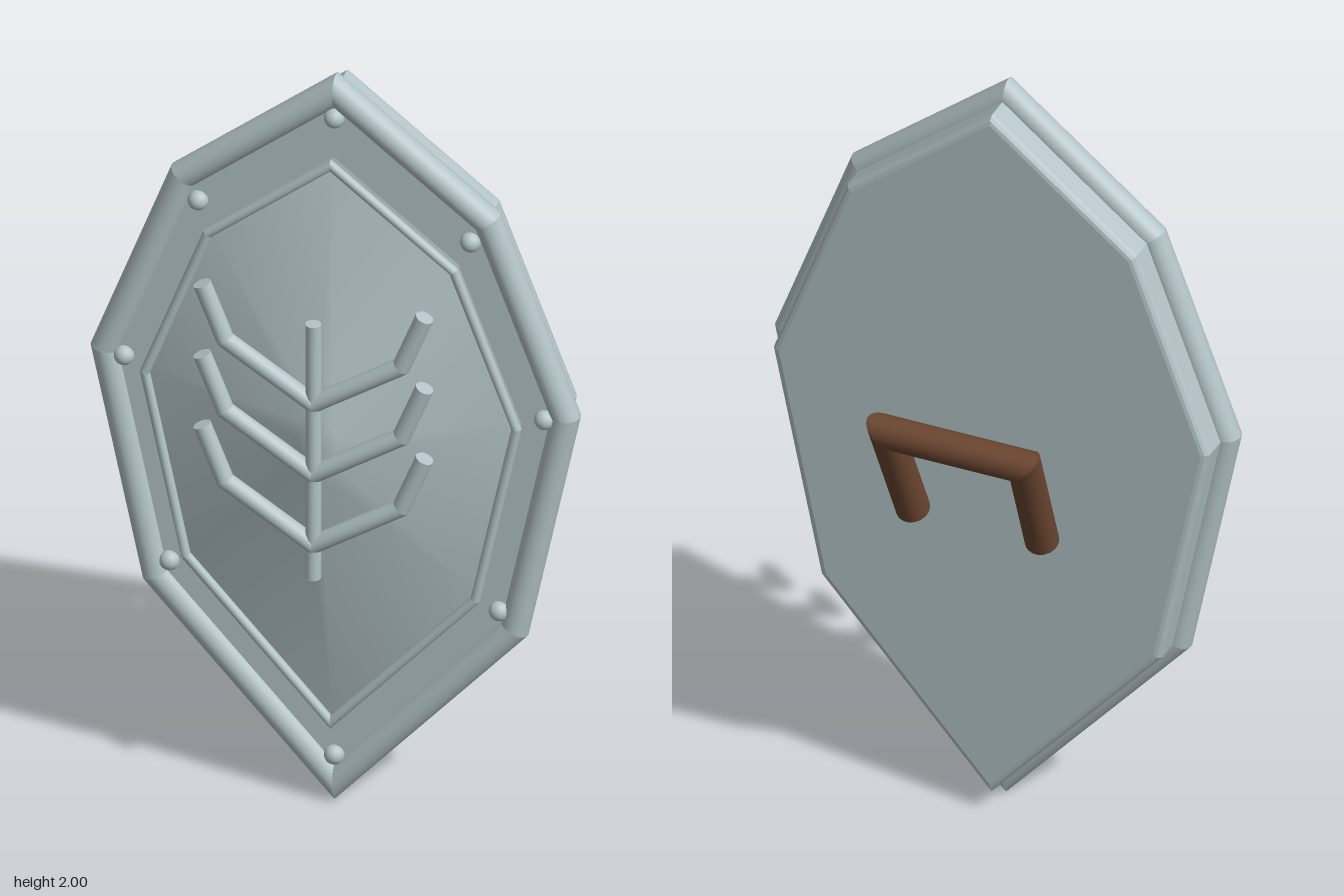
import * as THREE from 'three';
import { mergeGeometries } from 'three/addons/utils/BufferGeometryUtils.js';

const V = (x, y, z) => new THREE.Vector3(x, y, z);

// Right half of the shield outline (rim centre line), mirrored to a closed loop
const half = [[0, 1.954], [0.372, 1.657], [0.562, 1.15], [0.438, 0.545], [0, 0.05]];
const outline = [...half, ...half.slice(1, 4).reverse().map(([x, y]) => [-x, y])];
const centreY = 1.07;
const scaled = (k, z, cy = 1.0) => outline.map(([x, y]) => V(x * k, cy + (y - cy) * k, z));

function indexed(points, index) {
  const g = new THREE.BufferGeometry().setFromPoints(points);
  g.setIndex(index);
  g.computeVertexNormals();
  return g;
}

// Round bar along a planar polyline with mitred corners; n is the plane's normal
function bar(path, n, r, closed = false, sides = 16) {
  const count = path.length, segs = closed ? count : count - 1;
  const dirs = [];
  for (let i = 0; i < segs; i++) dirs.push(path[(i + 1) % count].clone().sub(path[i]).normalize());
  const ringAt = (i) => {
    const a = dirs[closed ? (i + segs - 1) % segs : Math.max(i - 1, 0)];
    const b = dirs[closed ? i % segs : Math.min(i, segs - 1)];
    const sa = n.clone().cross(a), side = sa.clone().add(n.clone().cross(b)).normalize();
    side.divideScalar(side.dot(sa));
    return Array.from({ length: sides }, (_, j) => {
      const t = (j / sides) * Math.PI * 2;
      return path[i % count].clone().addScaledVector(side, r * Math.cos(t)).addScaledVector(n, r * Math.sin(t));
    });
  };
  const parts = [];
  for (let i = 0; i < segs; i++) {
    const index = [];
    for (let j = 0; j < sides; j++) {
      const k = (j + 1) % sides;
      index.push(j, k, sides + k, j, sides + k, sides + j);
    }
    parts.push(indexed([...ringAt(i), ...ringAt(i + 1)], index));
  }
  if (!closed) {
    const start = [], end = [];
    for (let j = 1; j < sides - 1; j++) {
      start.push(0, j + 1, j);
      end.push(0, j, j + 1);
    }
    parts.push(indexed(ringAt(0), start), indexed(ringAt(count - 1), end));
  }
  return mergeGeometries(parts);
}

export function createModel() {
  const steel = new THREE.MeshStandardMaterial({ color: 0xb3c3c7 });
  steel.name = 'steel';
  const leather = new THREE.MeshStandardMaterial({ color: 0x6b4630 });
  leather.name = 'brown leather';

  const model = new THREE.Group();
  model.name = 'shield';
  const body = new THREE.Group();
  body.name = 'shieldBody';
  body.rotation.y = 0.067; // slight turn of the whole shield
  model.add(body);
  const add = (name, geometry, material = steel, parent = body) => {
    const mesh = new THREE.Mesh(geometry, material);
    mesh.name = name;
    parent.add(mesh);
    return mesh;
  };
  const zAxis = V(0, 0, 1);

  // Bevelled backing plate
  const shape = new THREE.Shape(outline.map(([x, y]) => new THREE.Vector2(x, y)));
  const bevel = 0.018;
  const plate = new THREE.ExtrudeGeometry(shape, {
    depth: 0.12 - 2 * bevel, bevelEnabled: true, bevelThickness: bevel,
    bevelSize: bevel, bevelOffset: -bevel, bevelSegments: 3,
  });
  plate.translate(0, 0, -0.05 + bevel);
  add('plate', plate);

  // Outer rim and thin inner border
  add('rim', bar(scaled(1, 0.058), zAxis, 0.035, true, 20));
  add('innerBorder', bar(scaled(0.808, 0.102), zAxis, 0.012, true, 10));

  // Raised faceted boss with a small flat tip
  const base = scaled(0.815, 0.075), tip = scaled(0.085, 0.213, centreY);
  const n = outline.length, index = [];
  for (let i = 0; i < n; i++) {
    const k = (i + 1) % n;
    index.push(i, n + k, k, i, n + i, n + k, n + i, 2 * n, n + k);
  }
  add('boss', indexed([...base, ...tip, V(0, centreY, 0.213)], index));

  // Rivets just inside the rim
  const rivets = [[0, 1.885], [0.333, 1.6], [0.514, 1.14], [0.403, 0.592], [0, 0.125],
    [-0.403, 0.592], [-0.514, 1.14], [-0.333, 1.6]];
  for (const [x, y] of rivets) {
    add('rivet', new THREE.SphereGeometry(0.025, 16, 12)).position.set(x, y, 0.072);
  }

  // Branch emblem in front of the boss
  const emblem = new THREE.Group();
  emblem.name = 'emblem';
  body.add(emblem);
  const ez = 0.248;
  add('stem', bar([V(0, 0.72, ez), V(0, 1.42, ez)], zAxis, 0.019), steel, emblem);
  for (const y of [0.81, 1.005, 1.2]) {
    const arms = [[-0.272, 0.285], [-0.215, 0.14], [0, 0], [0.215, 0.14], [0.272, 0.285]];
    add('branchPair', bar(arms.map(([x, dy]) => V(x, y + dy, ez)), zAxis, 0.022), steel, emblem);
  }

  // Slanted grip handle behind the plate
  const grip = [V(-0.166, 0.85, -0.118), V(-0.178, 1.137, -0.243), V(0.178, 1.137, -0.243), V(0.166, 0.85, -0.118)];
  const gripNormal = grip[2].clone().sub(grip[1]).cross(grip[0].clone().sub(grip[1])).normalize();
  add('handle', bar(grip, gripNormal, 0.041, false, 18), leather);

  return model;
}
